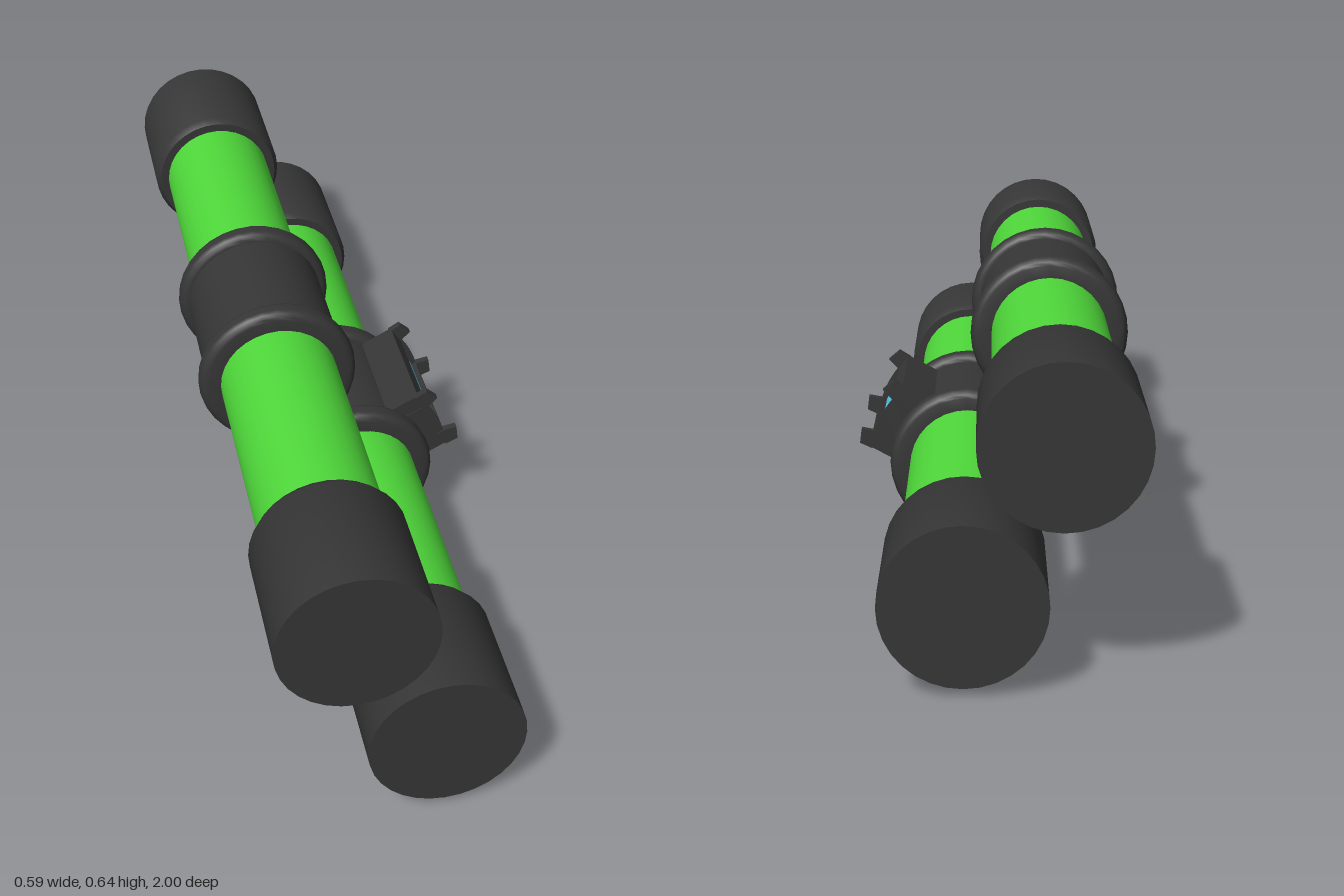
import * as THREE from 'three';
import { toCreasedNormals } from 'three/addons/utils/BufferGeometryUtils.js';

const dark = new THREE.MeshStandardMaterial({ color: 0x363636 });
const green = new THREE.MeshStandardMaterial({ color: 0x4fd83a });
const blue = new THREE.MeshStandardMaterial({ color: 0x55c5e0 });

function add(parent, name, geometry, material) {
  const mesh = new THREE.Mesh(geometry, material);
  mesh.name = name;
  parent.add(mesh);
  return mesh;
}

// Turned part along z from [radius, z] pairs with rising z
function turned(profile) {
  const pts = profile.map(([r, z]) => new THREE.Vector2(r, z));
  const g = new THREE.LatheGeometry(pts, 32).rotateX(Math.PI / 2);
  // rotateX maps the lathe axis onto +z
  return toCreasedNormals(g, 0.6);
}

// Prism with an outline in xy, running from z0 to z1
function prism(outline, z0, z1) {
  const shape = new THREE.Shape(outline.map(([x, y]) => new THREE.Vector2(x, y)));
  const g = new THREE.ExtrudeGeometry(shape, { depth: z1 - z0, bevelEnabled: false });
  return g.translate(0, 0, z0);
}

function createTube(name, x, y) {
  const tube = new THREE.Group();
  tube.name = name;
  tube.position.set(x, y, 0);

  add(tube, 'glowTube', turned([[0.127, -0.75], [0.127, 0.75]]), green);
  add(tube, 'collar', turned([[0.127, -0.16], [0.152, -0.16], [0.152, 0.16], [0.127, 0.16]]), dark);

  // Rounded rims on both ends of the collar
  const rim = [[0.125, -0.026], [0.154, -0.026]];
  for (let i = 0; i <= 8; i++) {
    const a = -Math.PI / 2 + (i / 8) * Math.PI;
    rim.push([0.154 + 0.0185 * Math.cos(a), 0.026 * Math.sin(a)]);
  }
  rim.push([0.125, 0.026]);

  // End caps, chamfered on the inner edge
  const cap = [[0.12, 0.71], [0.146, 0.71], [0.156, 0.728], [0.156, 1], [0, 1]];
  for (const s of [1, -1]) {
    add(tube, 'collarRim', turned(rim), dark).position.z = s * 0.16;
    const mesh = add(tube, 'endCap', turned(cap), dark);
    if (s < 0) mesh.rotation.y = Math.PI;
  }
  return tube;
}

// Window clip: local x points outward from the tube axis
function createClip() {
  const clip = new THREE.Group();
  clip.name = 'windowClip';
  clip.rotation.z = THREE.MathUtils.degToRad(28.5);

  add(clip, 'clipBase', prism([[0.12, -0.045], [0.192, -0.045], [0.192, 0.045], [0.12, 0.045]], -0.135, 0.135), dark);
  const panel = new THREE.BoxGeometry(0.014, 0.078, 0.27);
  add(clip, 'windowPanel', panel, blue).position.x = 0.194;

  // Side fins with flared tabs at their ends
  const fin = [[0.12, 0.042], [0.212, 0.042], [0.207, 0.08], [0.12, 0.08]];
  const tab = [[0.2, 0.042], [0.214, 0.042], [0.242, 0.051], [0.23, 0.082], [0.2, 0.08]];
  const flip = (outline) => outline.map(([x, y]) => [x, -y]);

  // Curved plates closing the ends of the window
  const plate = [[0.12, -0.045]];
  for (let i = 0; i <= 6; i++) {
    const a = -0.21 + (i / 6) * 0.42;
    plate.push([0.217 * Math.cos(a), 0.217 * Math.sin(a)]);
  }
  plate.push([0.12, 0.045]);

  for (const side of [(o) => o, flip]) {
    add(clip, 'sideFin', prism(side(fin), -0.136, 0.136), dark);
    add(clip, 'finTab', prism(side(tab), 0.125, 0.141), dark);
    add(clip, 'finTab', prism(side(tab), -0.141, -0.125), dark);
  }
  add(clip, 'windowEnd', prism(plate, 0.132, 0.138), dark);
  add(clip, 'windowEnd', prism(plate, -0.138, -0.132), dark);
  return clip;
}

export function createModel() {
  const model = new THREE.Group();
  model.name = 'twinTubes';
  model.add(createTube('upperTube', -0.124, 0.47));
  const lower = createTube('lowerTube', 0.056, 0.1725);
  lower.add(createClip());
  model.add(lower);
  return model;
}
